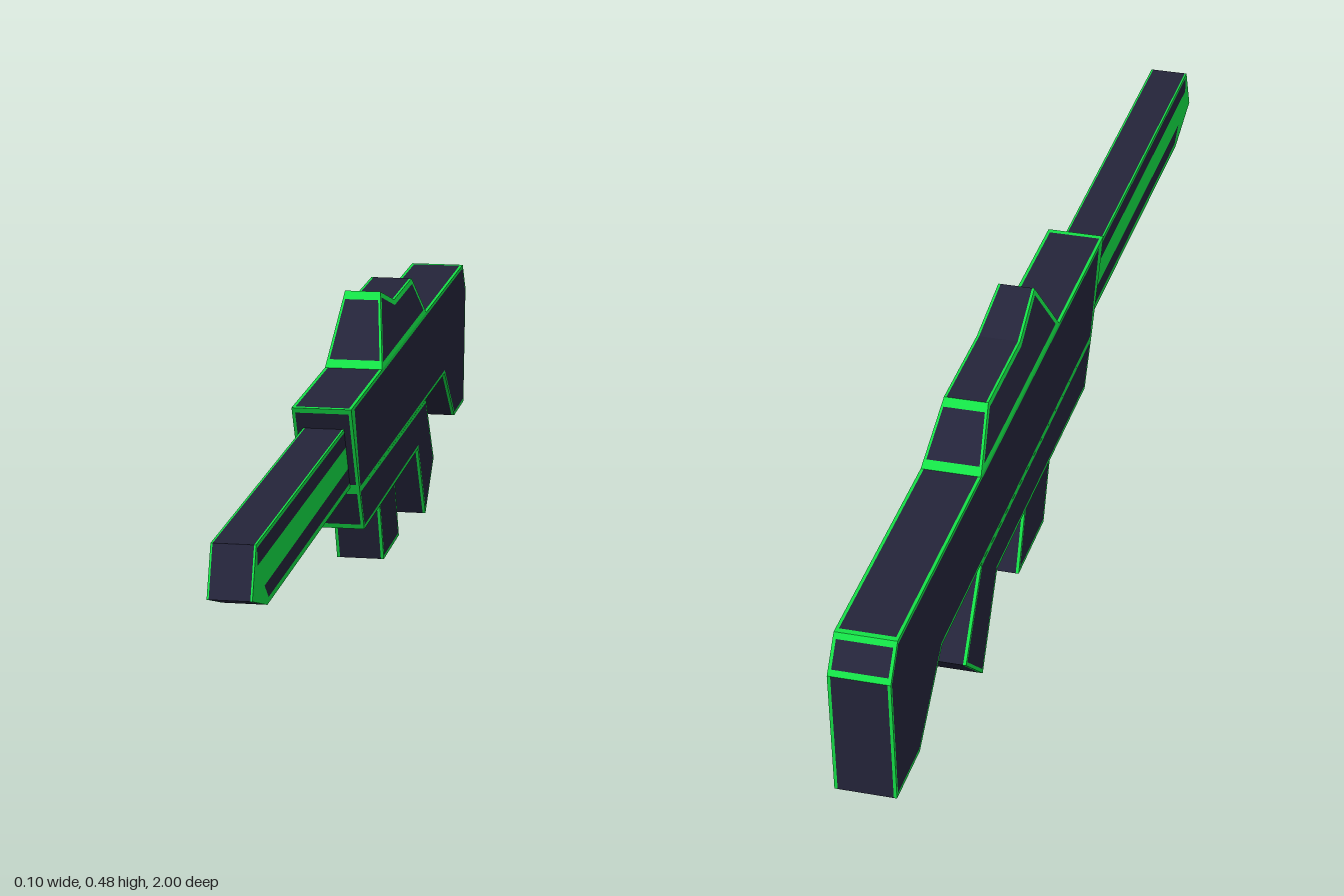
import * as THREE from 'three';

const dark = new THREE.MeshStandardMaterial({ color: 0x24243a });
dark.name = 'dark navy';
const green = new THREE.MeshStandardMaterial({ color: 0x14e046 });
green.name = 'bright green';

// Shrinks a counter-clockwise [z, y] outline by d with mitred corners
function inset(outline, d) {
  const n = outline.length;
  const normal = (a, b) => new THREE.Vector2(a[1] - b[1], b[0] - a[0]).normalize();
  return outline.map((p, i) => {
    const n1 = normal(outline[(i + n - 1) % n], p);
    const n2 = normal(p, outline[(i + 1) % n]);
    const k = d / (1 + n1.dot(n2));
    return [p[0] + (n1.x + n2.x) * k, p[1] + (n1.y + n2.y) * k];
  });
}

// A slab standing in the z-y plane: dark panels framed by green edging.
// half(y) is the half width, cross lists the walls with green end strips.
function panelled(name, outline, half, { panels, border = 0.008, edge = 0.005, cross = [], strip = 0.01 } = {}) {
  panels = panels || [inset(outline, border)];
  const faces = { dark: [], green: [] };
  const tri = (list, a, b, c) => list.push(...a, ...b, ...c);
  const vec = list => list.map(p => new THREE.Vector2(p[0], p[1]));

  // Both flat sides
  const cap = (list, shape, holes) => {
    const points = [shape, ...holes].flat();
    for (const f of THREE.ShapeUtils.triangulateShape(vec(shape), holes.map(vec))) {
      for (const side of [-1, 1]) {
        const [a, b, c] = f.map(i => [side * half(points[i][1]), points[i][1], points[i][0]]);
        if (side < 0) tri(list, a, b, c);
        else tri(list, a, c, b);
      }
    }
  };
  cap(faces.green, outline, panels.map(p => [...p].reverse()));
  panels.forEach(p => cap(faces.dark, p, []));

  // Walls around the outline, each cut into a three by three grid
  outline.forEach((p, i) => {
    const q = outline[(i + 1) % outline.length];
    const s = strip / Math.hypot(q[0] - p[0], q[1] - p[1]);
    const steps = [0, s, 1 - s, 1];
    const at = (col, row) => {
      const z = p[0] + (q[0] - p[0]) * steps[row];
      const y = p[1] + (q[1] - p[1]) * steps[row];
      const w = half(y);
      return [[-w, edge - w, w - edge, w][col], y, z];
    };
    for (let c = 0; c < 3; c++) {
      for (let r = 0; r < 3; r++) {
        const list = c === 1 && (r === 1 || !cross.includes(i)) ? faces.dark : faces.green;
        tri(list, at(c, r), at(c + 1, r), at(c + 1, r + 1));
        tri(list, at(c, r), at(c + 1, r + 1), at(c, r + 1));
      }
    }
  });

  const geometry = new THREE.BufferGeometry();
  geometry.setAttribute('position', new THREE.Float32BufferAttribute([...faces.dark, ...faces.green], 3));
  geometry.addGroup(0, faces.dark.length / 3, 0);
  geometry.addGroup(faces.dark.length / 3, faces.green.length / 3, 1);
  geometry.computeVertexNormals();
  const mesh = new THREE.Mesh(geometry, [dark, green]);
  mesh.name = name;
  return mesh;
}

export function createModel() {
  const model = new THREE.Group();
  model.name = 'rifle';
  const wide = () => 0.048;

  // Receiver running back into the stock, with a wider green front edge
  const body = [[0.27, 0.367], [-0.96, 0.367], [-0.998, 0.315], [-0.98, 0.1], [-0.86, 0.1], [-0.735, 0.207], [0.19, 0.217]];
  const bodyPanel = inset(body, 0.006);
  bodyPanel[0] = [0.238, 0.361];
  bodyPanel[6] = [0.182, 0.221];
  model.add(panelled('receiverAndStock', body, wide, { panels: [bodyPanel], cross: [0, 1, 6] }));

  // Lower guard with the slanted grip
  model.add(panelled('guardAndGrip',
    [[0.19, 0.217], [-0.51, 0.209], [-0.605, 0.08], [-0.51, 0], [-0.42, 0.14], [0.145, 0.14]],
    wide, { border: 0.006, cross: [5] }));

  // Magazine
  model.add(panelled('magazine',
    [[-0.05, 0.145], [-0.21, 0.145], [-0.26, 0.024], [-0.1, 0.024]],
    () => 0.04, { border: 0.006 }));

  // Sight housing, narrowing towards the top
  model.add(panelled('sight',
    [[-0.03, 0.367], [-0.12, 0.48], [-0.23, 0.445], [-0.42, 0.445], [-0.51, 0.367]],
    y => 0.048 - (y - 0.367) * 0.16, { border: 0.009, edge: 0.004, cross: [0, 3], strip: 0.016 }));

  // Barrel with a green channel between two dark bands on each side
  model.add(panelled('barrel',
    [[0.97, 0.33], [0.15, 0.33], [0.15, 0.22], [0.89, 0.22], [1, 0.255]],
    () => 0.033, {
      edge: 0.003,
      panels: [
        [[0.963, 0.324], [0.16, 0.324], [0.16, 0.297], [0.962, 0.297]],
        [[0.91, 0.254], [0.16, 0.257], [0.16, 0.229], [0.88, 0.229]],
      ],
    }));
  return model;
}
